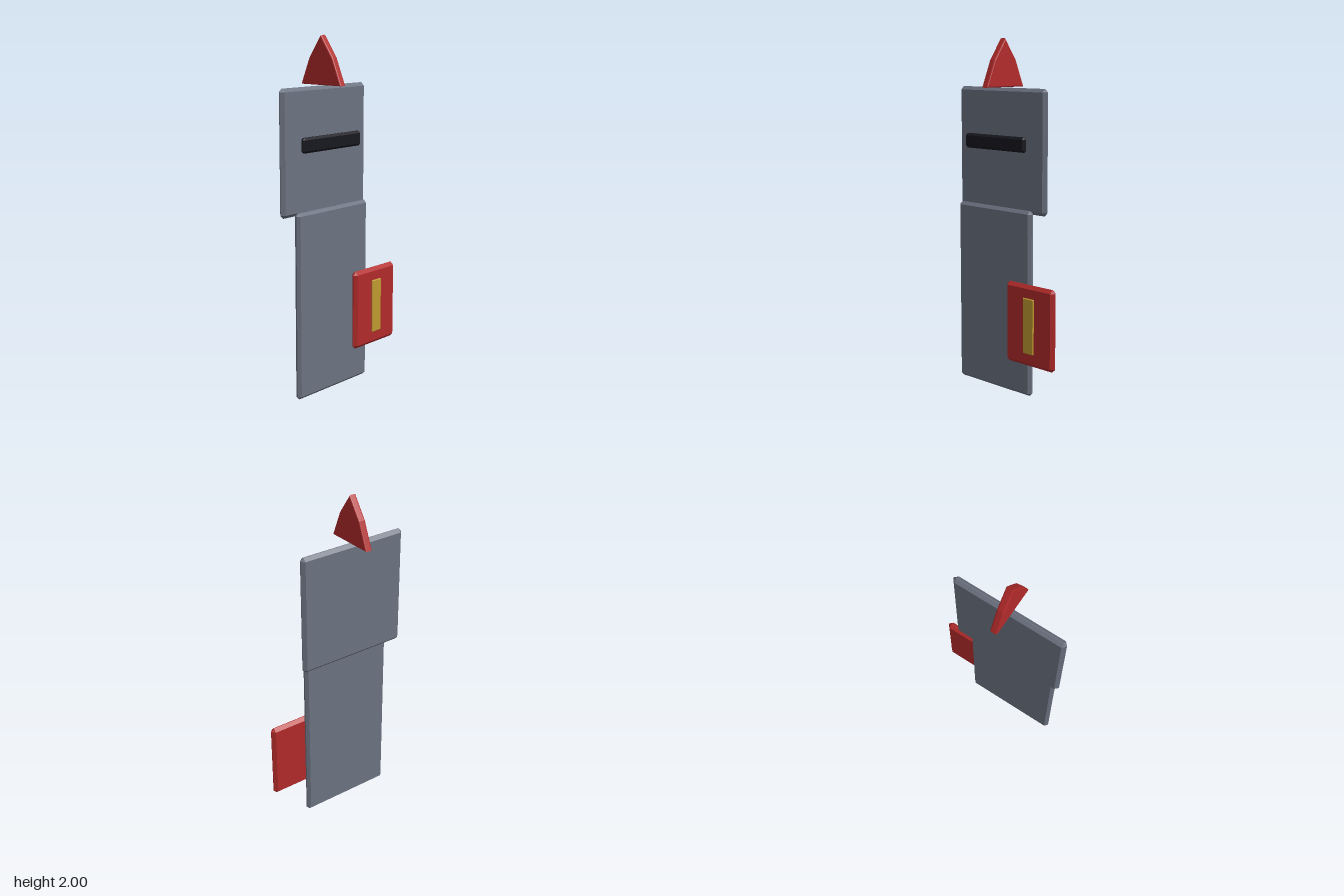
import * as THREE from 'three';
import { ConvexGeometry } from 'three/addons/geometries/ConvexGeometry.js';

const material = (color) => new THREE.MeshStandardMaterial({ color, flatShading: true });
const steel = material(0x6b7280);
const red = material(0xb22a2a);
const black = material(0x17171f);
const gold = material(0xc09a30);

// Box with every edge and corner chamfered by b, given its min and max corners
function chamferedPlate(name, mat, min, max, b) {
  const half = min.map((v, i) => (max[i] - v) / 2);
  const points = [];
  for (const sx of [-1, 1]) for (const sy of [-1, 1]) for (const sz of [-1, 1]) {
    for (let axis = 0; axis < 3; axis++) {
      const h = half.map((v, i) => (i === axis ? v : v - b));
      points.push(new THREE.Vector3(sx * h[0], sy * h[1], sz * h[2]));
    }
  }
  const mesh = new THREE.Mesh(new ConvexGeometry(points), mat);
  mesh.name = name;
  mesh.position.set(...min.map((v, i) => v + half[i]));
  return mesh;
}

// Flat fan-shaped crest with bevelled rims
function createCrest() {
  const outline = [[-0.147, 1.73], [0.147, 1.73], [0.085, 1.88], [0, 2], [-0.085, 1.88]];
  const shape = new THREE.Shape(outline.map(([x, y]) => new THREE.Vector2(x, y)));
  const bevel = 0.008;
  const geometry = new THREE.ExtrudeGeometry(shape, {
    depth: 0.042 - 2 * bevel,
    bevelEnabled: true,
    bevelThickness: bevel,
    bevelSize: bevel,
    bevelOffset: -bevel,
    bevelSegments: 2,
  });
  const mesh = new THREE.Mesh(geometry, red);
  mesh.name = 'crest';
  mesh.position.z = 0.057 + bevel;
  return mesh;
}

export function createModel() {
  const model = new THREE.Group();
  model.name = 'plateFigure';
  model.add(
    // Standing plates
    chamferedPlate('headPlate', steel, [-0.021, 1.03, -0.26], [0.021, 1.728, 0.416], 0.019),
    chamferedPlate('bodyPlate', steel, [0.042, 0, -0.208], [0.084, 1.06, 0.364], 0.016),
    // Eye slit
    chamferedPlate('visor', black, [0.046, 1.38, -0.155], [0.079, 1.464, 0.311], 0.012),
    // Shield with its raised stripe
    chamferedPlate('shield', red, [0.084, 0.195, -0.417], [0.126, 0.658, -0.059], 0.019),
    chamferedPlate('shieldStripe', gold, [0.116, 0.27, -0.279], [0.134, 0.586, -0.2], 0.004),
    createCrest(),
  );
  return model;
}
